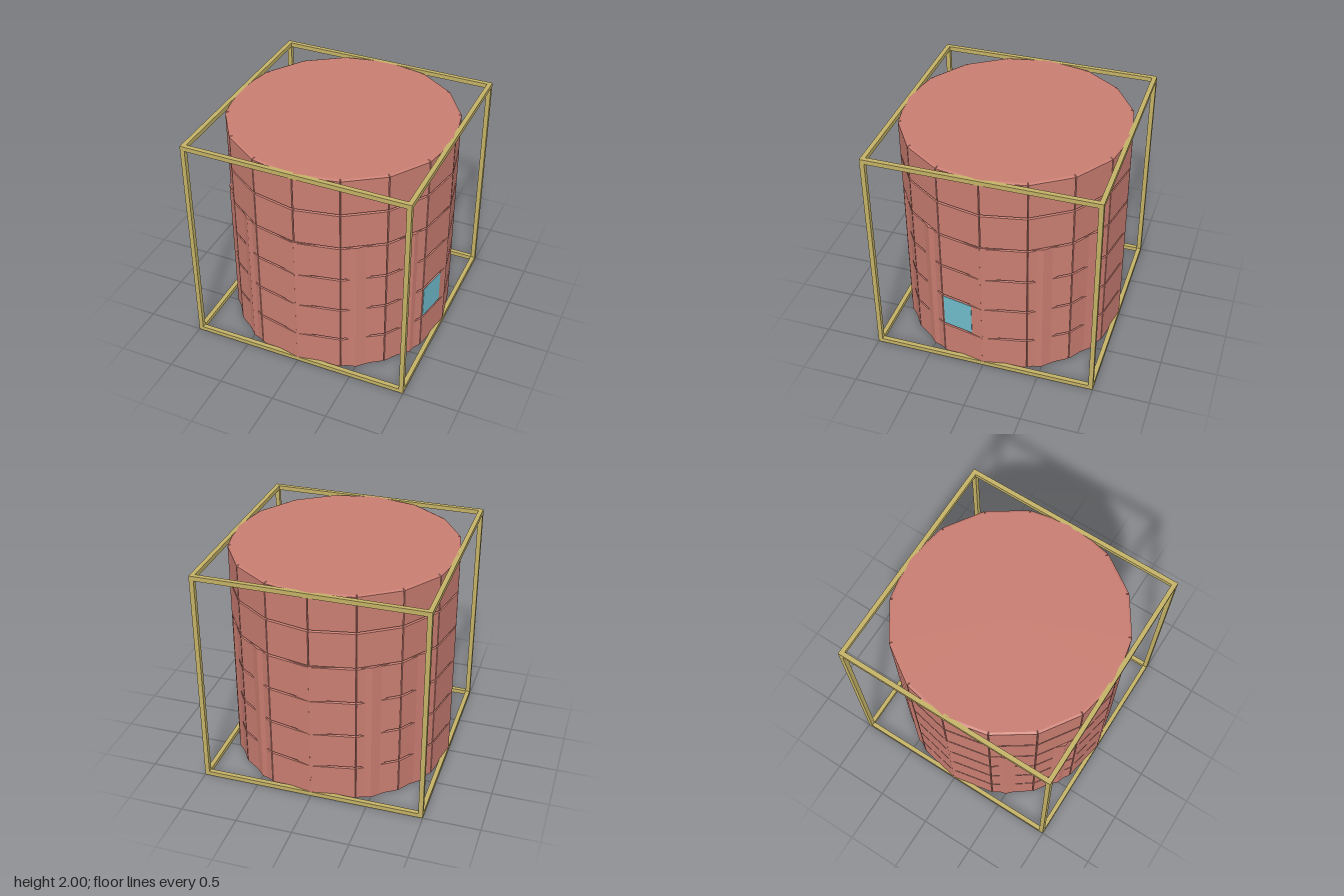
import * as THREE from 'three';

const SIDES = 16, LEVELS = 6, HEIGHT = 2;

// Sixteen-sided wall of bevelled blocks, with shallow joints between them
function blockWallGeometry() {
  const joint = 0.005, depth = 0.98, bevel = 0.009;
  const corner = (i) => {
    const a = (i / SIDES) * Math.PI * 2;
    return new THREE.Vector2(Math.sin(a), Math.cos(a));
  };
  // cross-section: each corner is a small notch
  const section = [];
  for (let i = 0; i < SIDES; i++) {
    const c = corner(i);
    section.push(
      c.clone().lerp(corner(i - 1), joint / 0.39),
      c.clone().multiplyScalar(0.988),
      c.clone().lerp(corner(i + 1), joint / 0.39));
  }
  // vertical profile: [y, scale], pinched at each joint
  const rings = [[0, depth]];
  for (let l = 0; l < LEVELS; l++) {
    const y0 = (l * HEIGHT) / LEVELS, y1 = ((l + 1) * HEIGHT) / LEVELS;
    rings.push([y0 + bevel, 1], [y1 - bevel, 1], [y1, depth]);
  }
  const n = section.length, pos = [], index = [];
  for (const [y, s] of rings) for (const p of section) pos.push(p.x * s, y, p.y * s);
  for (let r = 0; r < rings.length - 1; r++) {
    for (let i = 0; i < n; i++) {
      const a = r * n + i, b = r * n + ((i + 1) % n);
      index.push(a, b, b + n, a, b + n, a + n);
    }
  }
  // end caps
  const bottom = pos.length / 3, top = bottom + 1, last = (rings.length - 1) * n;
  pos.push(0, 0, 0, 0, HEIGHT, 0);
  for (let i = 0; i < n; i++) {
    const j = (i + 1) % n;
    index.push(bottom, j, i, top, last + i, last + j);
  }
  const indexed = new THREE.BufferGeometry();
  indexed.setAttribute('position', new THREE.Float32BufferAttribute(pos, 3));
  indexed.setIndex(index);
  const geometry = indexed.toNonIndexed();
  geometry.computeVertexNormals();
  return geometry;
}

export function createModel() {
  const model = new THREE.Group();
  model.name = 'framedTower';

  const wallMaterial = new THREE.MeshStandardMaterial({ color: 0xc97d71 });
  wallMaterial.name = 'brick red';
  const frameMaterial = new THREE.MeshStandardMaterial({ color: 0xc4b266 });
  frameMaterial.name = 'brass';
  const paneMaterial = new THREE.MeshStandardMaterial({ color: 0x6fbccb });
  paneMaterial.name = 'pale blue';

  const add = (parent, name, geometry, material, x, y, z) => {
    const mesh = new THREE.Mesh(geometry, material);
    mesh.name = name;
    mesh.position.set(x, y, z);
    parent.add(mesh);
    return mesh;
  };

  // Block wall
  add(model, 'blockWall', blockWallGeometry(), wallMaterial, 0, 0, 0);

  // Twelve-sided lower drum, showing through as shallow ridges
  const drumHeight = (HEIGHT * 4) / LEVELS;
  const drum = new THREE.CylinderGeometry(1, 1, drumHeight, 12).toNonIndexed();
  drum.computeVertexNormals();
  add(model, 'lowerDrum', drum, wallMaterial, 0, drumHeight / 2, 0);

  // Window pane on one block of the left side
  const pane = add(model, 'windowPane', new THREE.BoxGeometry(0.275, 0.306, 0.006),
    paneMaterial, 0.9533, 0.502, 0.235);
  pane.rotation.y = Math.PI / 2 - Math.PI / SIDES;

  // Cube frame: four bars along each axis
  const frame = new THREE.Group();
  frame.name = 'cubeFrame';
  model.add(frame);
  const t = 0.04, e = 1 - t / 2, inner = 2 - 2 * t;
  for (const a of [-e, e]) {
    for (const b of [-e, e]) {
      add(frame, 'frameBarX', new THREE.BoxGeometry(inner, t, t), frameMaterial, 0, 1 + a, b);
      add(frame, 'frameBarZ', new THREE.BoxGeometry(t, t, inner), frameMaterial, a, 1 + b, 0);
      add(frame, 'framePost', new THREE.BoxGeometry(t, 2, t), frameMaterial, a, 1, b);
    }
  }
  return model;
}
